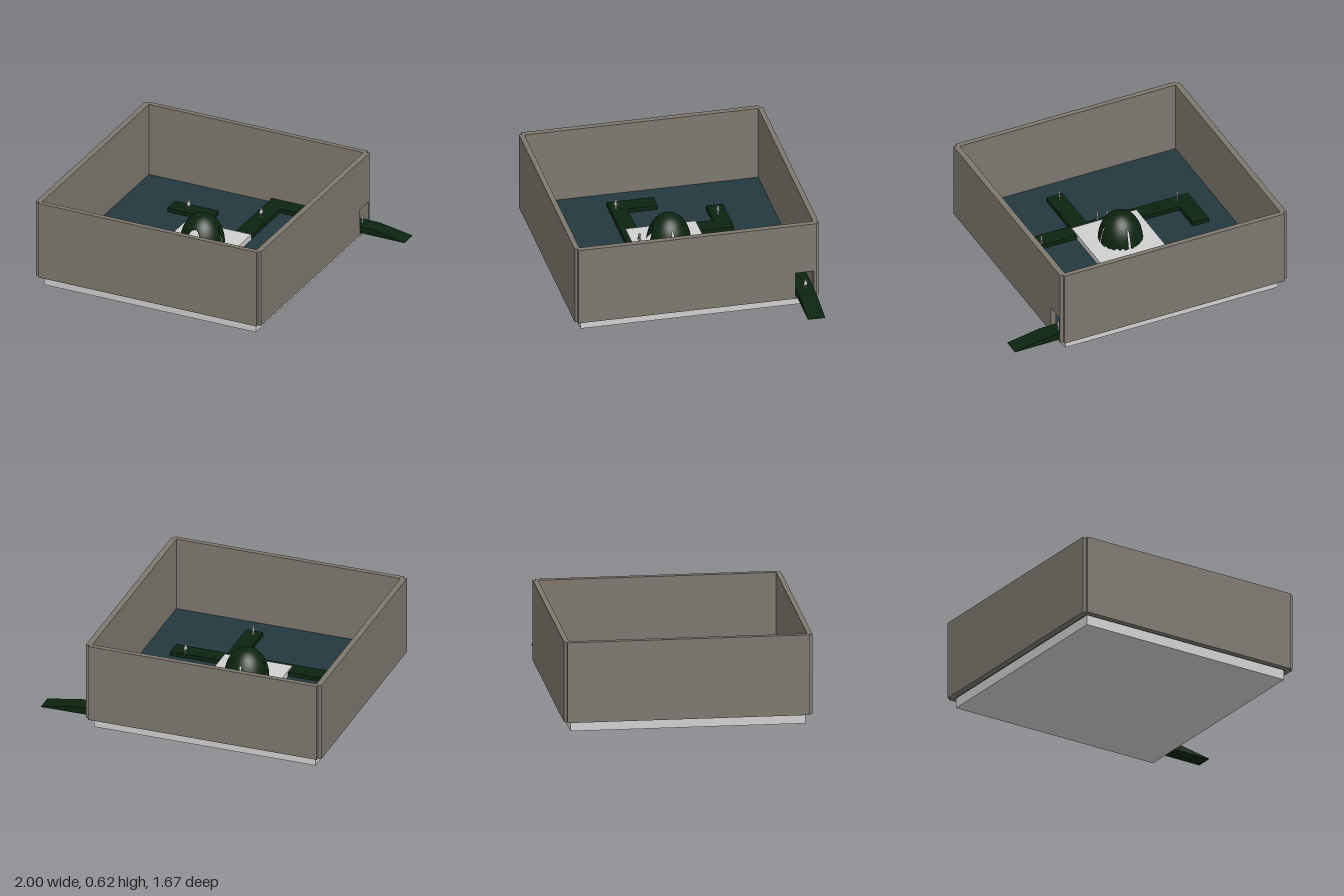
import * as THREE from 'three';

const mat = (name, color, side = THREE.FrontSide) => {
  const m = new THREE.MeshStandardMaterial({ color, side });
  m.name = name;
  return m;
};

export function createModel() {
  const model = new THREE.Group();
  const stone = mat('warm grey stone', 0x7d786f);
  const water = mat('dark blue water', 0x24383f);
  const moss = mat('dark green', 0x0c2411);
  const mossShell = mat('dark green shell', 0x0c2411, THREE.DoubleSide);
  const pale = mat('pale grey', 0xd0d0d0);
  const grey = mat('figure grey', 0x8c8c8c);

  const add = (name, geo, material, parent = model) => {
    const mesh = new THREE.Mesh(geo, material);
    mesh.name = name;
    parent.add(mesh);
    return mesh;
  };
  // Box given by its limits on each axis
  const box = (name, material, x0, x1, y0, y1, z0, z1, parent) =>
    add(name, new THREE.BoxGeometry(x1 - x0, y1 - y0, z1 - z0)
      .translate((x0 + x1) / 2, (y0 + y1) / 2, (z0 + z1) / 2), material, parent);

  // Base and water
  box('base', pale, -0.95, 0.625, 0, 0.075, -0.79, 0.79);
  box('water', water, -0.965, 0.64, 0.071, 0.1, -0.805, 0.805);

  // Enclosing walls
  box('frontWall', stone, -0.975, 0.652, 0.07, 0.623, 0.8, 0.835);
  box('backWall', stone, -0.975, 0.652, 0.07, 0.623, -0.835, -0.8);
  box('rightWall', stone, -1, -0.96, 0.07, 0.623, -0.815, 0.815);

  // Left wall with the gateway cut through; the shape is drawn in (-z, y)
  const wall = new THREE.Shape([[-0.815, 0.07], [0.815, 0.07], [0.815, 0.623], [-0.815, 0.623]]
    .map(p => new THREE.Vector2(...p)));
  wall.holes.push(new THREE.Path([[0.672, 0.08], [0.672, 0.265], [0.797, 0.265], [0.797, 0.08]]
    .map(p => new THREE.Vector2(...p))));
  add('leftWall', new THREE.ExtrudeGeometry(wall, { depth: 0.04, bevelEnabled: false })
    .rotateY(Math.PI / 2).translate(0.635, 0, 0), stone);

  // Raised paths: x0, x1, z0, z1
  [
    [-0.045, 0.64, -0.797, -0.68], [-0.045, 0.075, -0.68, -0.2],
    [-0.605, -0.28, -0.475, -0.36], [-0.4, -0.28, -0.36, -0.2],
    [-0.8, -0.68, -0.045, 0.16], [-0.8, 0.44, 0.16, 0.275],
    [-0.045, 0.075, 0.275, 0.635],
  ].forEach(([x0, x1, z0, z1]) => box('path', moss, x0, x1, 0.08, 0.13, z0, z1));

  // Ramp running out through the gateway
  const ramp = new THREE.Shape([[0.64, 0.085], [1, 0.083], [1, 0.088], [0.76, 0.13], [0.64, 0.13]]
    .map(p => new THREE.Vector2(...p)));
  add('ramp', new THREE.ExtrudeGeometry(ramp, { depth: 0.117, bevelEnabled: false })
    .translate(0, 0, -0.797), moss);

  box('platform', pale, -0.4, 0.08, 0.08, 0.14, -0.24, 0.24);

  // Dome shell: each column stops short where a doorway or slit opens
  const dome = new THREE.SphereGeometry(1, 256, 20);
  const { position, normal, uv } = dome.attributes;
  for (let i = 0; i < position.count; i++) {
    const a = uv.getX(i) * Math.PI * 2;
    const fromDoor = Math.abs(a > Math.PI ? a - Math.PI * 2 : a);
    const quarter = Math.round(a / (Math.PI / 2)) * (Math.PI / 2);
    let limit = Math.PI / 2;
    if (fromDoor < 0.3) limit = 0.85 + 0.25 * (fromDoor / 0.3) ** 2;
    else if (Math.abs(a - quarter) < 0.05) limit = 0.93;
    const t = (1 - uv.getY(i)) * limit;
    const p = [Math.sin(t) * Math.sin(a), Math.cos(t), Math.sin(t) * Math.cos(a)];
    // mirrored column order keeps the faces outward
    position.setXYZ(i, ...p);
    normal.setXYZ(i, ...p);
  }
  dome.scale(0.15, 0.21, 0.15).translate(-0.165, 0.14, 0);
  add('dome', dome, mossShell);

  // Small standing figures, facing +z before turning
  const figure = (x, y, z, turn, material, size = 1) => {
    const g = new THREE.Group();
    g.name = 'figure';
    for (const s of [-1, 1]) {
      box('leg', material, s * 0.005 - 0.003, s * 0.005 + 0.003, 0, 0.03, -0.003, 0.003, g);
      const arm = box('arm', material, -0.002, 0.002, -0.024, 0, -0.002, 0.002, g);
      arm.position.set(s * 0.009, 0.05, 0);
      arm.rotation.set(s * 0.3, 0, s * 0.12);
    }
    box('torso', material, -0.008, 0.008, 0.028, 0.052, -0.004, 0.004, g);
    add('head', new THREE.SphereGeometry(0.007, 10, 8).translate(0, 0.059, 0), material, g);
    g.position.set(x, y, z);
    g.rotation.y = turn;
    g.scale.setScalar(size);
    model.add(g);
  };
  [
    [-0.47, -0.41, 0.5], [0.015, -0.52, 0.4], [-0.7, 0.235, 0.8], [-0.12, 0.258, 0.7],
    [0.335, 0.175, 0.7], [0.005, 0.58, 1.2], [0.655, -0.745, 1.5],
  ].forEach(([x, z, turn]) => figure(x, 0.13, z, turn, pale));
  figure(-0.165, 0.14, 0.2, 0, grey, 1.3);

  return model;
}
